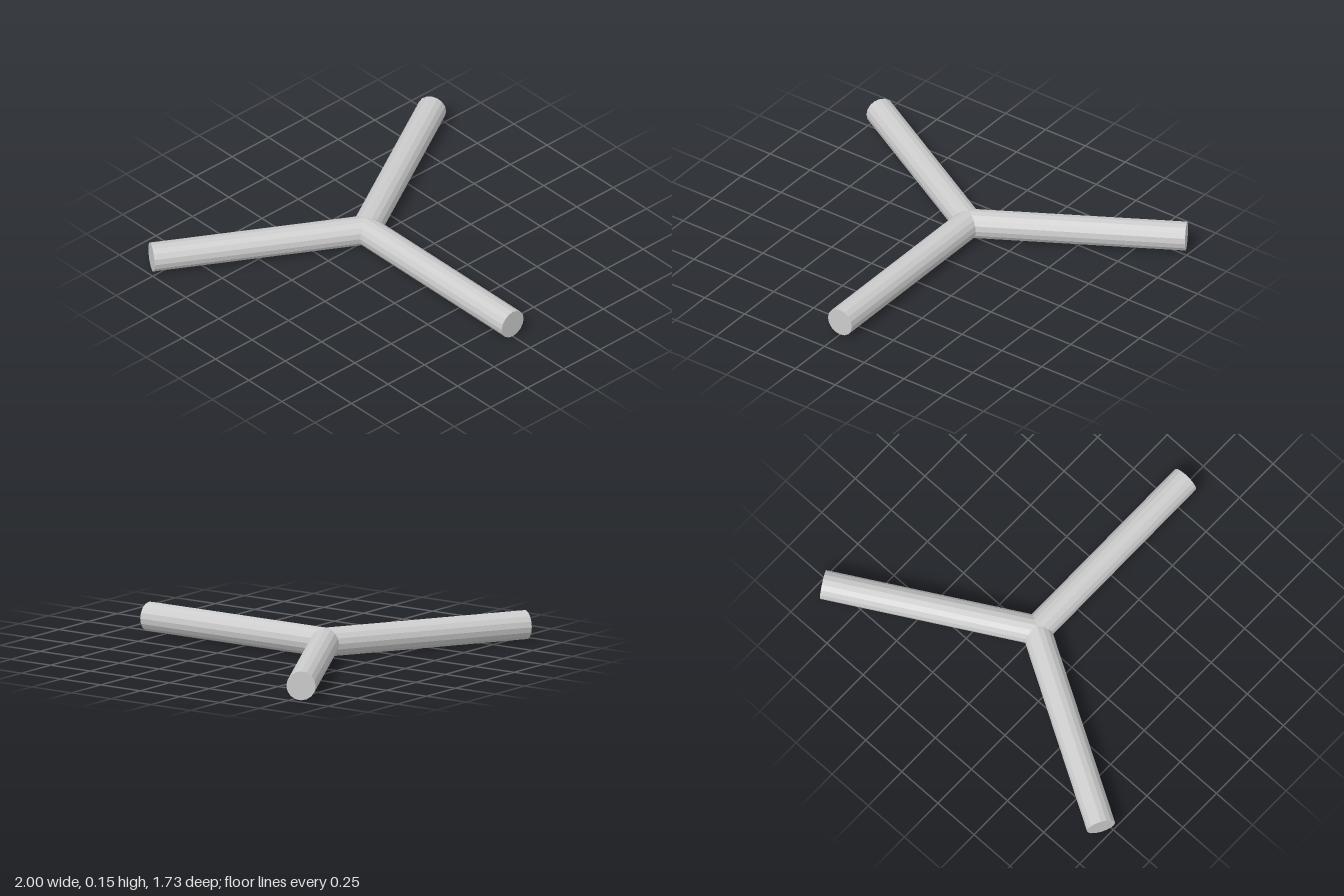
import * as THREE from 'three';

const R = 0.075;      // tube radius
const LEN = 1.111;    // hub centre to arm end
const SIDES = 16;
const HUB_Z = -0.245; // hub position that centres the model

// Tube along +z whose inner end is mitred to meet two neighbours at 120 degrees
function mitredTube() {
  const geo = new THREE.CylinderGeometry(R, R, LEN, SIDES, 1, true);
  geo.rotateX(Math.PI / 2).translate(0, 0, LEN / 2);
  const pos = geo.attributes.position;
  for (let i = 0; i < pos.count; i++) {
    if (pos.getZ(i) < LEN / 2) pos.setZ(i, Math.abs(pos.getX(i)) * Math.tan(Math.PI / 6));
  }
  geo.computeVertexNormals();
  return geo;
}

export function createModel() {
  const model = new THREE.Group();
  model.name = 'threeWayTube';
  const material = new THREE.MeshStandardMaterial({ color: 0xcccccc, flatShading: true });
  const tubeGeo = mitredTube();
  const capGeo = new THREE.CircleGeometry(R, SIDES).translate(0, 0, LEN);

  // Three equal arms around the hub
  ['frontArm', 'backLeftArm', 'backRightArm'].forEach((name, i) => {
    const arm = new THREE.Group();
    arm.name = name;
    const tube = new THREE.Mesh(tubeGeo, material);
    tube.name = 'tube';
    const cap = new THREE.Mesh(capGeo, material);
    cap.name = 'endCap';
    arm.add(tube, cap);
    arm.position.set(0, R, HUB_Z);
    arm.rotation.y = (i * 2 * Math.PI) / 3;
    model.add(arm);
  });
  return model;
}
